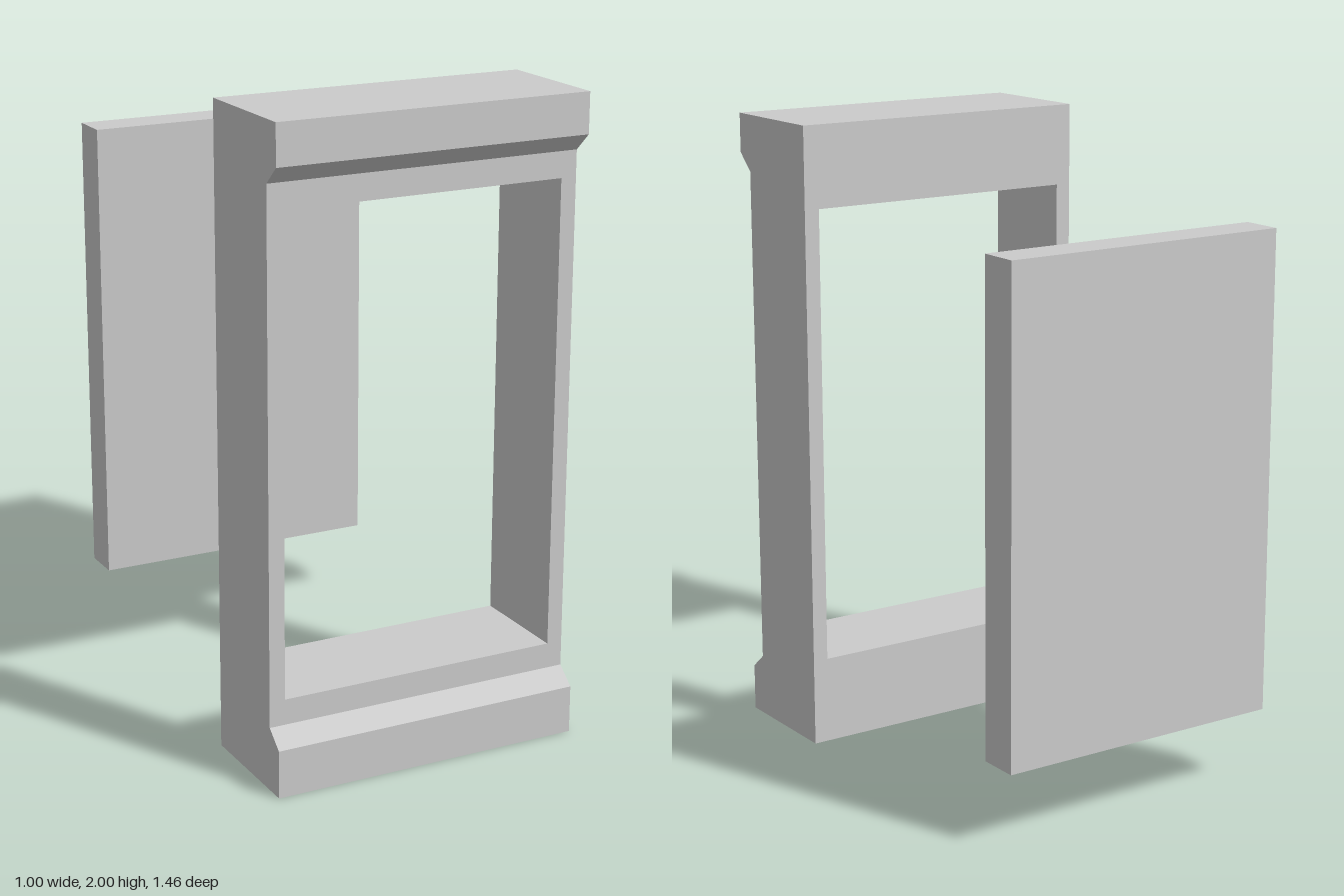
import * as THREE from 'three';

const material = new THREE.MeshStandardMaterial({ color: 0xcccccc, flatShading: true });

function addMesh(parent, name, geometry) {
  const mesh = new THREE.Mesh(geometry, material);
  mesh.name = name;
  parent.add(mesh);
}

// Box given by its minimum and maximum corners
function box([x0, y0, z0], [x1, y1, z1]) {
  return new THREE.BoxGeometry(x1 - x0, y1 - y0, z1 - z0)
    .translate((x0 + x1) / 2, (y0 + y1) / 2, (z0 + z1) / 2);
}

// Rail spanning the full width, from a side profile of [z, y] points
function rail(profile) {
  const shape = new THREE.Shape(profile.map(([z, y]) => new THREE.Vector2(z, y)));
  return new THREE.ExtrudeGeometry(shape, { depth: 1, bevelEnabled: false })
    .rotateY(-Math.PI / 2)
    .translate(0.5, 0, 0);
}

export function createModel() {
  const model = new THREE.Group();
  model.name = 'frameAndPanel';

  const back = 0.33, face = 0.67, lip = 0.73;
  const openBottom = 0.28, openTop = 1.74;

  // Frame: two rails with chamfered lips joined by two stiles
  const frame = new THREE.Group();
  frame.name = 'frame';
  model.add(frame);
  addMesh(frame, 'bottomRail', rail([
    [back, 0], [lip, 0], [lip, 0.15], [face, 0.2], [face, openBottom], [back, openBottom],
  ]));
  addMesh(frame, 'topRail', rail([
    [back, openTop], [face, openTop], [face, 1.82], [lip, 1.875], [lip, 2], [back, 2],
  ]));
  addMesh(frame, 'leftStile', box([0.45, openBottom, back], [0.5, openTop, face]));
  addMesh(frame, 'rightStile', box([-0.5, openBottom, back], [-0.45, openTop, face]));

  // Separate panel standing off behind the frame
  addMesh(model, 'backPanel', box([-0.48, 0.24, -0.73], [0.465, 1.74, -0.6]));

  return model;
}
